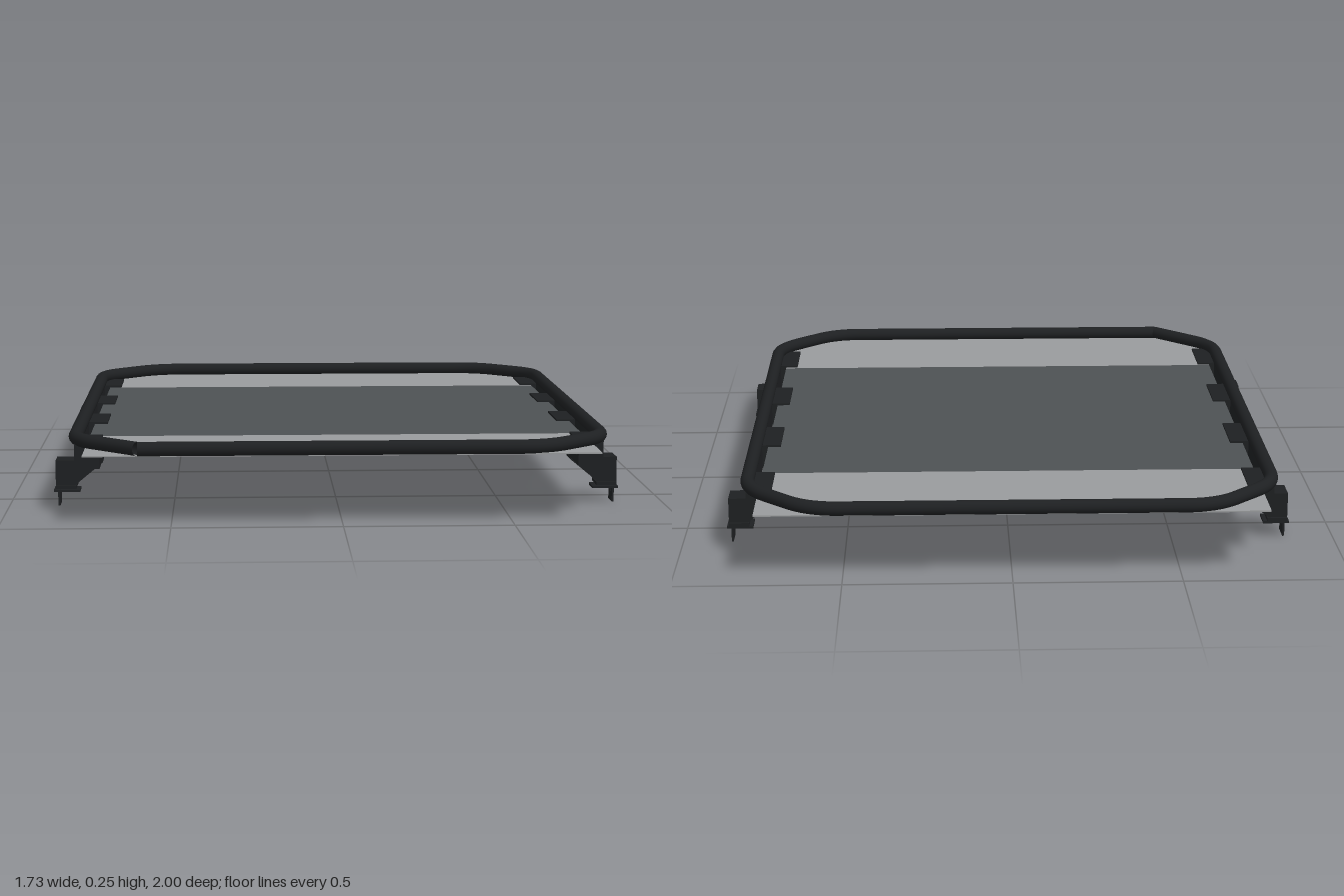
import * as THREE from 'three';

const dark = new THREE.MeshStandardMaterial({ color: 0x1e2022, side: THREE.DoubleSide });
const deckMat = new THREE.MeshStandardMaterial({ color: 0x4e5254 });
const paleMat = new THREE.MeshStandardMaterial({ color: 0x999b9d });

function add(parent, name, geometry, material = dark, x = 0, y = 0, z = 0) {
  const mesh = new THREE.Mesh(geometry, material);
  mesh.name = name;
  mesh.position.set(x, y, z);
  parent.add(mesh);
  return mesh;
}

const box = (w, h, d) => new THREE.BoxGeometry(w, h, d);

// Rounded octagonal path of the rim tube; it starts and ends at one sharp corner
function rimPath() {
  const X = 0.79, Z = 0.978, x = 0.595, z = 0.785, y = 0.228, bend = 0.085;
  const corners = [[-x, Z], [x, Z], [X, z], [X, -z], [x, -Z], [-x, -Z], [-X, -z], [-X, z], [-x, Z]]
    .map(([a, b]) => new THREE.Vector3(a, y, b));
  const path = new THREE.CurvePath();
  let from = corners[0];
  for (let i = 1; i < corners.length - 1; i++) {
    const c = corners[i];
    const toward = (p) => c.clone().add(p.clone().sub(c).setLength(bend));
    const a = toward(corners[i - 1]), b = toward(corners[i + 1]);
    path.add(new THREE.LineCurve3(from, a));
    path.add(new THREE.QuadraticBezierCurve3(a, c, b));
    from = b;
  }
  path.add(new THREE.LineCurve3(from, corners[corners.length - 1]));
  return path;
}

// Block with two bolt holes running across it
function bracketGeometry() {
  const w = 0.195, h = 0.074, depth = 0.06;
  const s = new THREE.Shape();
  s.moveTo(-w / 2, -h / 2).lineTo(w / 2, -h / 2).lineTo(w / 2, h / 2).lineTo(-w / 2, h / 2).closePath();
  for (const px of [-0.05, 0.05]) {
    s.holes.push(new THREE.Path().absarc(px, 0, 0.012, 0, Math.PI * 2, true));
  }
  return new THREE.ExtrudeGeometry(s, { depth, bevelEnabled: false, curveSegments: 10 })
    .translate(0, 0, -depth / 2).rotateY(Math.PI / 2);
}

// Slanted arm reaching outward from under the rail
function armGeometry() {
  const s = new THREE.Shape();
  s.moveTo(0.715, 0.141).lineTo(0.715, 0.134).lineTo(0.8, 0.064).lineTo(0.858, 0.064).lineTo(0.858, 0.141).closePath();
  return new THREE.ExtrudeGeometry(s, { depth: 0.08, bevelEnabled: false }).translate(0, 0, -0.04);
}

// Thin hanging clamp plate with a bolt hole
function clampGeometry() {
  const s = new THREE.Shape();
  s.moveTo(-0.032, 0).lineTo(0.032, 0).lineTo(0.032, 0.05).lineTo(-0.032, 0.05).closePath();
  s.holes.push(new THREE.Path().absarc(0, 0.036, 0.008, 0, Math.PI * 2, true));
  return new THREE.ExtrudeGeometry(s, { depth: 0.006, bevelEnabled: false, curveSegments: 8 }).rotateY(Math.PI / 2);
}

function foot() {
  const g = new THREE.Group();
  g.name = 'foot';
  add(g, 'arm', armGeometry());
  add(g, 'footPlate', box(0.062, 0.01, 0.094), dark, 0.827, 0.059, 0);
  add(g, 'clampPad', box(0.08, 0.007, 0.07), dark, 0.825, 0.046, 0);
  add(g, 'clampPlate', clampGeometry(), dark, 0.846, 0, 0);
  add(g, 'clampBolt', new THREE.CylinderGeometry(0.009, 0.009, 0.028, 8), dark, 0.81, 0.052, 0);
  return g;
}

// Everything along one long side, drawn on +x
function side() {
  const g = new THREE.Group();
  add(g, 'sideRail', box(0.016, 0.08, 1.58), dark, 0.782, 0.18, 0);
  for (const z of [-0.695, -0.23, 0.23, 0.695]) {
    add(g, 'bracket', bracketGeometry(), dark, 0.745, 0.178, z);
  }
  for (const z of [-0.59, 0.59]) {
    const f = foot();
    f.position.z = z;
    g.add(f);
  }
  return g;
}

export function createModel() {
  const model = new THREE.Group();
  model.name = 'roofRack';

  add(model, 'rimTube', new THREE.TubeGeometry(rimPath(), 400, 0.021, 14, false));

  // Deck: a dark middle sheet and a pale sheet at each end
  add(model, 'middleDeck', box(1.51, 0.004, 1.18), deckMat, 0, 0.207, 0);
  for (const s of [-1, 1]) {
    add(model, 'endDeck', box(1.51, 0.004, 0.388), paleMat, 0, 0.207, s * 0.784);
  }

  // The right side is the left side turned half round
  for (const [name, turn] of [['leftSide', 0], ['rightSide', Math.PI]]) {
    const g = side();
    g.name = name;
    g.rotation.y = turn;
    model.add(g);
  }
  return model;
}
